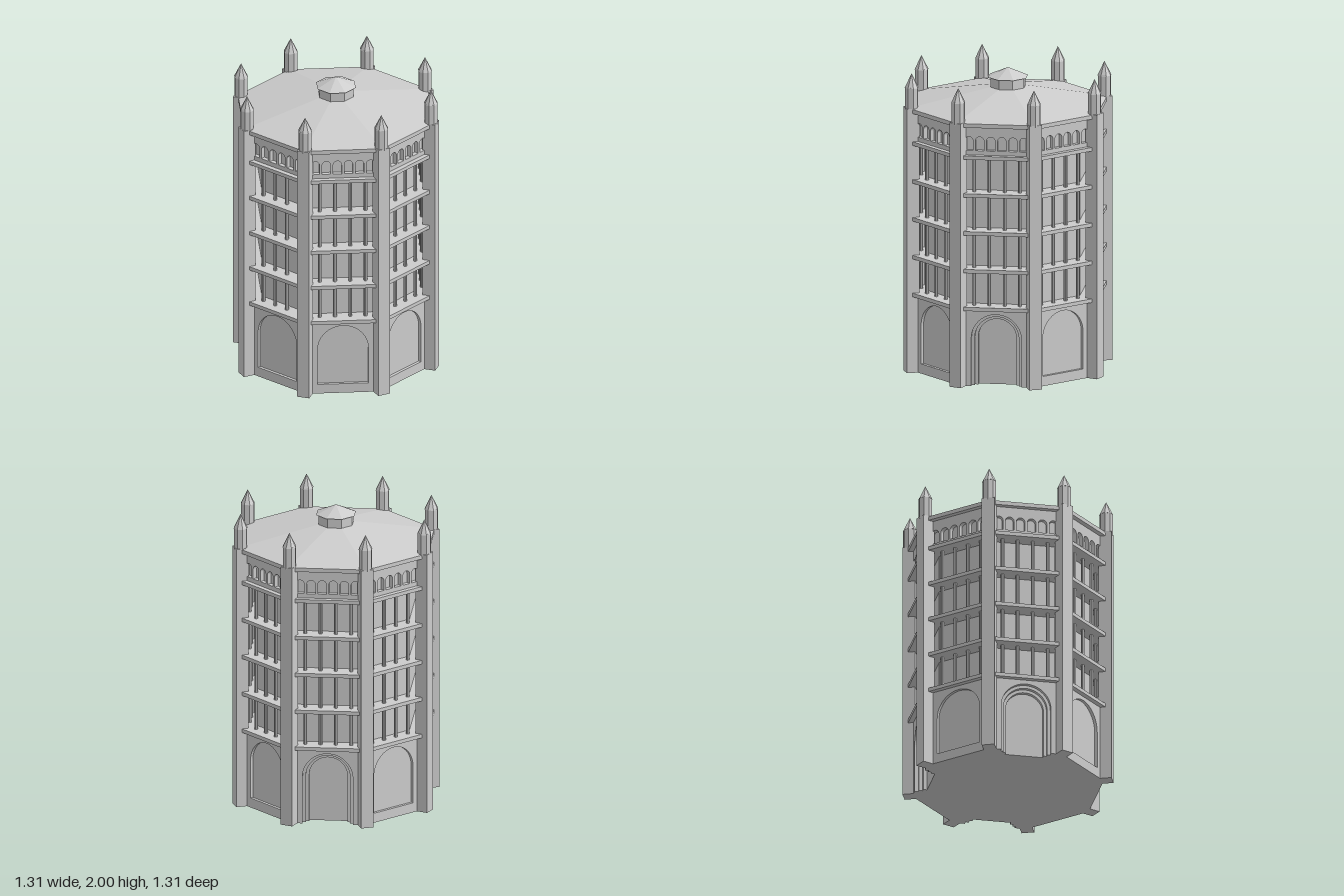
import * as THREE from 'three';

const stone = new THREE.MeshStandardMaterial({ color: 0xcccccc, flatShading: true });
stone.name = 'stone';

const COS = Math.cos(Math.PI / 8);
const TAN = Math.tan(Math.PI / 8);
const WALL = 0.587; // distance from the axis to the outer wall face

function add(parent, name, geometry, x = 0, y = 0, z = 0) {
  const mesh = new THREE.Mesh(geometry, stone);
  mesh.name = name;
  mesh.position.set(x, y, z);
  parent.add(mesh);
  return mesh;
}

// Octagonal prism or frustum with flat faces towards the main axes
function octagon(parent, name, bottom, top, y0, y1) {
  const geo = new THREE.CylinderGeometry(top / COS, bottom / COS, y1 - y0, 8);
  geo.rotateY(Math.PI / 8);
  return add(parent, name, geo, 0, (y0 + y1) / 2, 0);
}

// Round-headed opening as a closed path
function archHole(cx, r, y0, spring) {
  const p = new THREE.Path();
  p.moveTo(cx - r, y0);
  p.lineTo(cx + r, y0);
  p.lineTo(cx + r, spring);
  p.absarc(cx, spring, r, 0, Math.PI, false);
  p.closePath();
  return p;
}

function rect(half, y0, y1) {
  const s = new THREE.Shape();
  s.moveTo(-half, y0);
  s.lineTo(half, y0);
  s.lineTo(half, y1);
  s.lineTo(-half, y1);
  s.closePath();
  return s;
}

// Wall layer with an arched doorway open at the ground
function doorShape(half, top, r, spring) {
  const s = new THREE.Shape();
  s.moveTo(-half, 0);
  s.lineTo(-r, 0);
  s.lineTo(-r, spring);
  s.absarc(0, spring, r, Math.PI, 0, true);
  s.lineTo(r, 0);
  s.lineTo(half, 0);
  s.lineTo(half, top);
  s.lineTo(-half, top);
  s.closePath();
  return s;
}

// Panel whose front lies at the given distance from the axis
function panel(parent, name, shape, front, depth) {
  const geo = new THREE.ExtrudeGeometry(shape, { depth, bevelEnabled: false, curveSegments: 16 });
  return add(parent, name, geo, 0, 0, front - depth);
}

export function createModel() {
  const tower = new THREE.Group();
  tower.name = 'octagonalTower';

  // Solid core behind the walls and galleries
  octagon(tower, 'lowerCore', 0.512, 0.512, 0, 0.52);
  octagon(tower, 'galleryCore', 0.5, 0.5, 0.52, 1.54);
  octagon(tower, 'friezeCore', 0.557, 0.557, 1.54, 1.75);

  // Floor slabs and cornice
  const floors = [0.51, 0.764, 1.018, 1.272, 1.526];
  floors.forEach(y => octagon(tower, 'floorSlab', 0.62, 0.62, y, y + 0.025));
  octagon(tower, 'cornice', 0.62, 0.62, 1.74, 1.767);

  // Roof and lantern
  octagon(tower, 'roof', 0.62, 0.001, 1.767, 1.896);
  octagon(tower, 'lantern', 0.11, 0.11, 1.84, 1.942);
  octagon(tower, 'lanternCap', 0.125, 0, 1.94, 2);

  const half = WALL * TAN;
  const portals = [3, 5, 7]; // faces with doorways, counted from the front towards +x
  for (let i = 0; i < 8; i++) {
    const face = new THREE.Group();
    face.name = 'towerSide';
    face.rotation.y = i * Math.PI / 4;
    tower.add(face);

    if (portals.includes(i)) {
      // Stepped portal
      [0.165, 0.145, 0.125].forEach((r, k) => {
        const front = WALL - k * 0.025;
        panel(face, 'portalStep', doorShape(front * TAN, 0.515, r, 0.318), front, 0.025);
      });
    } else {
      // Blind arch
      const wall = rect(half, 0, 0.515);
      wall.holes.push(archHole(0, 0.165, 0.065, 0.318));
      panel(face, 'blindArchWall', wall, WALL, 0.02);
      const back = WALL - 0.02;
      panel(face, 'blindArchBack', rect(back * TAN, 0, 0.515), back, 0.06);
    }

    // Gallery columns
    for (let f = 0; f < 4; f++) {
      const y0 = floors[f] + 0.025, y1 = floors[f + 1];
      for (const x of [-0.15, -0.05, 0.05, 0.15]) {
        add(face, 'galleryColumn', new THREE.CylinderGeometry(0.012, 0.012, y1 - y0, 8), x, (y0 + y1) / 2, 0.55);
      }
    }

    // Frieze of small arches
    const frieze = rect(half, 1.54, 1.75);
    for (let k = 0; k < 6; k++) frieze.holes.push(archHole((k - 2.5) * 0.0725, 0.028, 1.58, 1.645));
    panel(face, 'archFrieze', frieze, WALL, 0.032);

    // Corner buttress with its pinnacle
    const corner = new THREE.Group();
    corner.name = 'cornerButtress';
    corner.rotation.y = (i + 0.5) * Math.PI / 4;
    tower.add(corner);
    add(corner, 'buttressShaft', new THREE.BoxGeometry(0.084, 1.772, 0.085), 0, 0.886, 0.65);
    add(corner, 'pinnacleShaft', new THREE.CylinderGeometry(0.045, 0.045, 0.15, 8), 0, 1.835, 0.65);
    add(corner, 'pinnacleSpire', new THREE.ConeGeometry(0.047, 0.095, 8), 0, 1.9525, 0.65);
  }
  return tower;
}
